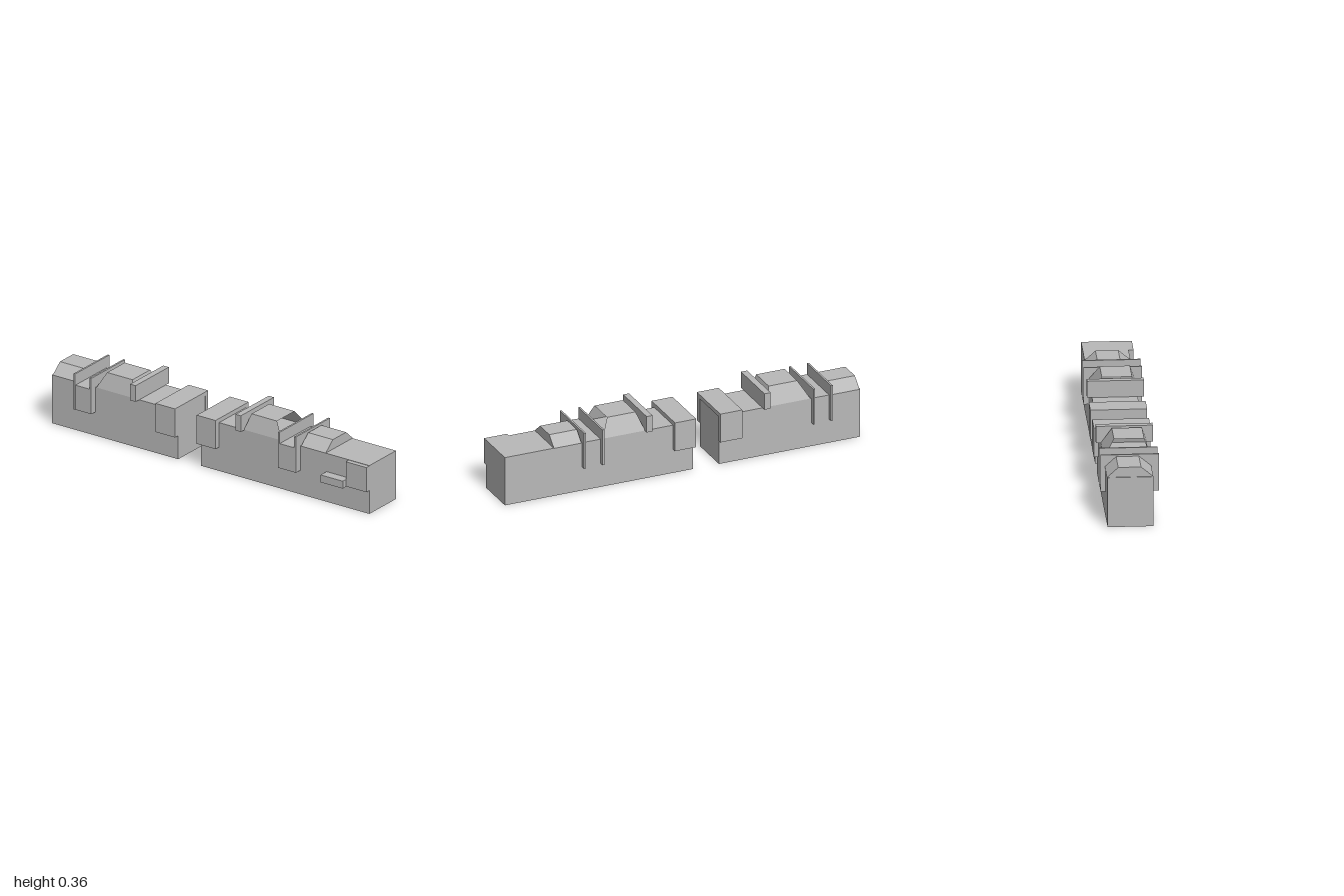
import * as THREE from 'three';

const grey = new THREE.MeshStandardMaterial({ color: 0xb8b8b8, flatShading: true, side: THREE.DoubleSide });
grey.name = 'plain grey';

// Block between two corners. Options: top = [x0, x1, z0, z1] tapers the upper face,
// open = index of a face to leave out (0 +x, 1 -x, 2 +y, 3 -y).
function block(parent, name, [x0, x1], [y0, y1], [z0, z1], { top, open } = {}) {
  const geo = new THREE.BoxGeometry(1, 1, 1);
  const p = geo.attributes.position;
  for (let i = 0; i < p.count; i++) {
    const upper = p.getY(i) > 0;
    const [a, b, c, d] = upper && top ? top : [x0, x1, z0, z1];
    p.setXYZ(i, p.getX(i) > 0 ? b : a, upper ? y1 : y0, p.getZ(i) > 0 ? d : c);
  }
  if (open !== undefined) {
    const idx = Array.from(geo.index.array);
    idx.splice(open * 6, 6);
    geo.setIndex(idx);
  }
  geo.clearGroups();
  geo.computeVertexNormals();
  const mesh = new THREE.Mesh(geo, grey);
  mesh.name = name;
  parent.add(mesh);
}

const ROOF = 0.27, BACK = -0.13, FRONT = 0.105;

// Thin upright fin straddling the body, with a leg down each side
function fin(parent, x) {
  const xs = [x - 0.005, x + 0.005];
  block(parent, 'finTop', xs, [ROOF, 0.333], [-0.155, 0.145]);
  block(parent, 'finFrontLeg', xs, [0.133, ROOF], [FRONT, 0.145]);
  block(parent, 'finBackLeg', xs, [0.133, ROOF], [-0.155, BACK]);
}

// One unit: hollow body, gabled roof, pair of fins, hatch, cross bar and collar
function unit(name, s) {
  const g = new THREE.Group();
  g.name = name;
  block(g, 'body', s.body, [0, ROOF], [BACK, FRONT], { open: 3 });
  block(g, 'gableRoof', s.gable, [ROOF, 0.323], [-0.133, FRONT],
    { top: [...s.gable, -0.075, 0.042] });
  s.fins.forEach((x) => fin(g, x));
  block(g, 'sidePanel', s.fins, [0.133, ROOF], [FRONT, 0.143]);
  block(g, 'hatch', s.hatch, [ROOF, 0.358], [BACK, FRONT],
    { top: [...s.hatchTop, -0.075, 0.08], open: s.hatchOpen });
  block(g, 'crossBar', s.bar, [ROOF, 0.36], [-0.155, 0.137]);
  block(g, 'collar', s.collar, [ROOF, 0.293], [-0.155, 0.137]);
  block(g, 'collarFront', s.collar, [0.133, ROOF], [FRONT, 0.137]);
  block(g, 'collarBack', s.collar, [0.133, ROOF], [-0.155, BACK]);
  return g;
}

export function createModel() {
  const model = new THREE.Group();
  model.name = 'pairedBlocks';

  model.add(unit('shortUnit', {
    body: [-1, -0.205], gable: [-0.995, -0.835], fins: [-0.83, -0.73],
    hatch: [-0.72, -0.485], hatchTop: [-0.67, -0.51], hatchOpen: 1,
    bar: [-0.485, -0.45], collar: [-0.325, -0.202],
  }));

  const long = unit('longUnit', {
    body: [-0.06, 1], gable: [0.57, 0.725], fins: [0.457, 0.56],
    hatch: [0.21, 0.45], hatchTop: [0.24, 0.4], hatchOpen: 0,
    bar: [0.18, 0.213], collar: [-0.065, 0.053],
  });
  // Front shelf and end cheek
  block(long, 'shelf', [0.73, 0.87], [0.127, 0.168], [FRONT, 0.157]);
  block(long, 'endCheek', [0.87, 1], [0.13, 0.268], [FRONT, 0.131]);
  model.add(long);

  return model;
}
